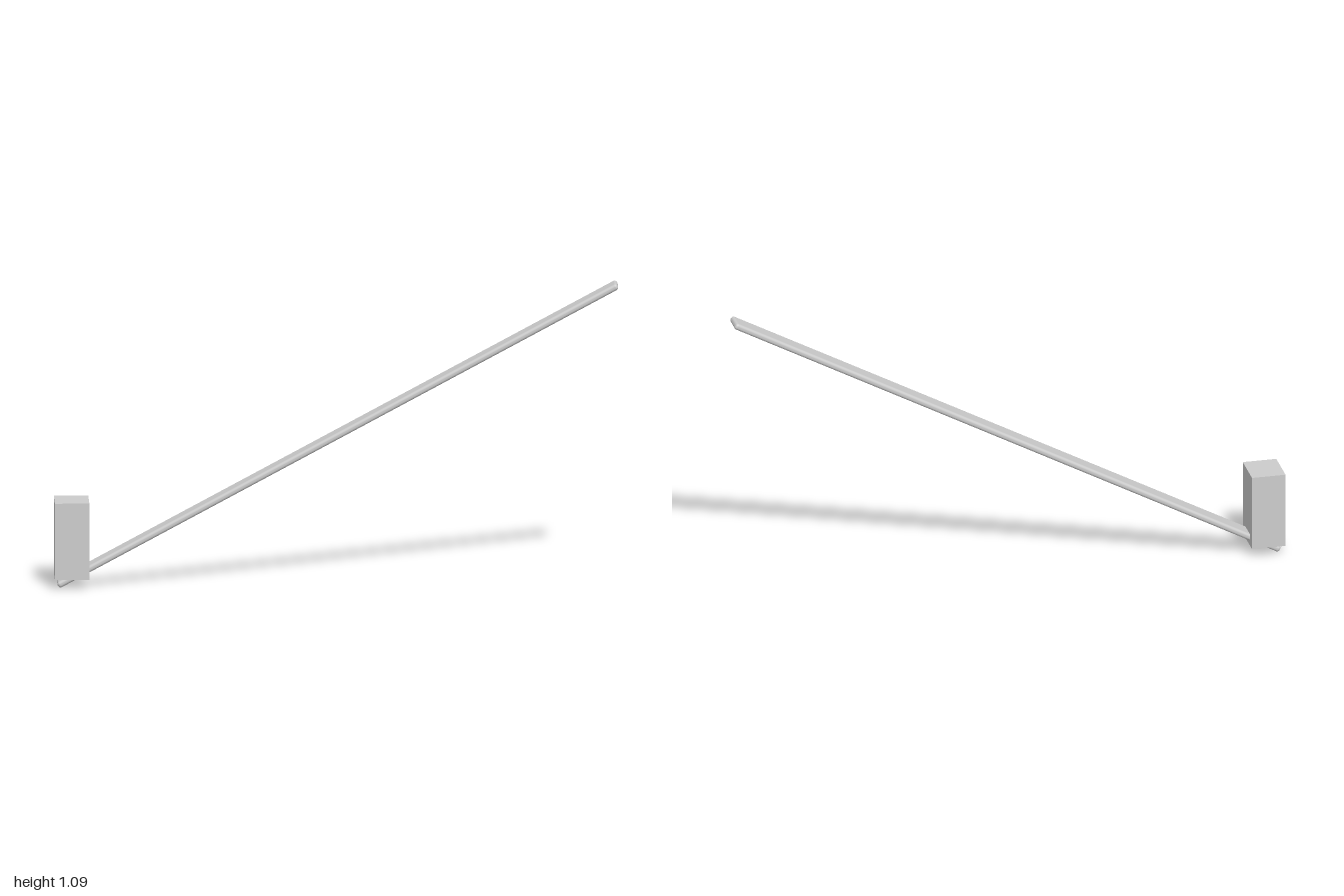
import * as THREE from 'three';
import { RoundedBoxGeometry } from 'three/addons/geometries/RoundedBoxGeometry.js';

export function createModel() {
  const model = new THREE.Group();
  const material = new THREE.MeshStandardMaterial({ color: 0xcccccc });
  const yaw = THREE.MathUtils.degToRad(-9.9);
  const tilt = THREE.MathUtils.degToRad(28.4);

  // Upright housing at the low end
  const housing = new THREE.Mesh(new THREE.BoxGeometry(0.123, 0.278, 0.143), material);
  housing.name = 'housing';
  housing.position.set(-0.928, 0.174, -0.147);
  housing.rotation.y = yaw;
  model.add(housing);

  // Long raised arm with softly rounded edges, passing through the housing
  const arm = new THREE.Mesh(new RoundedBoxGeometry(2.27, 0.023, 0.082, 3, 0.01), material);
  arm.name = 'arm';
  arm.position.set(0.007, 0.546, 0.015);
  arm.rotation.set(0, yaw, tilt, 'YXZ');
  model.add(arm);

  return model;
}
